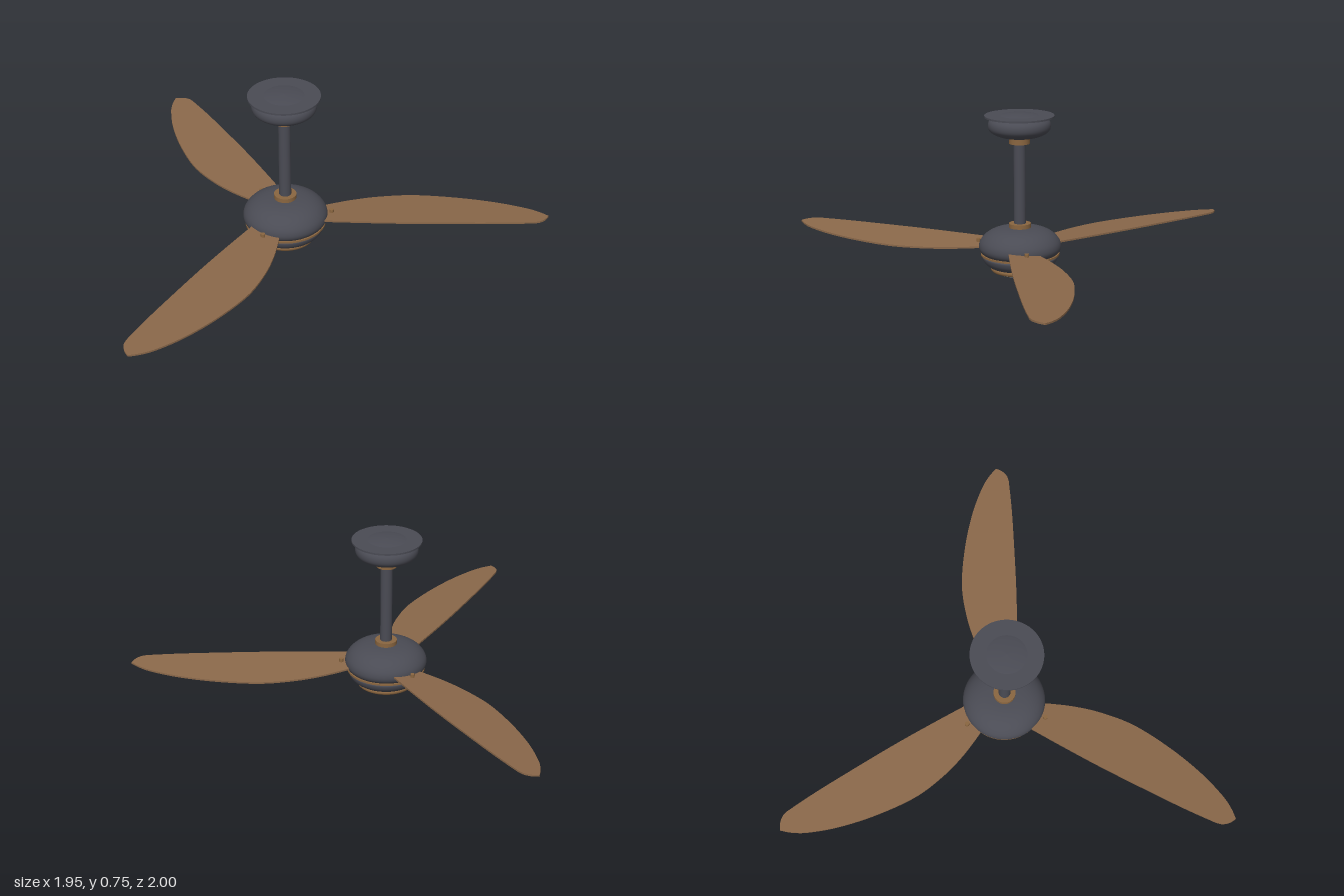
import * as THREE from 'three';

const mat = (name, color) => Object.assign(new THREE.MeshStandardMaterial({ color }), { name });
const vecs = (pts) => pts.map(([x, y]) => new THREE.Vector2(x, y));

export function createModel() {
  const metal = mat('dark metal', 0x4a4b54);
  const wood = mat('brown wood', 0x8a684a);
  const bronze = mat('bronze trim', 0x8a6640);
  const lens = mat('pale lens', 0xe6e6e6);

  const fan = new THREE.Group();
  fan.name = 'ceilingFan';
  fan.position.set(-0.18, 0, 0.115);

  const add = (name, geometry, material, parent = fan) => {
    const mesh = new THREE.Mesh(geometry, material);
    mesh.name = name;
    parent.add(mesh);
    return mesh;
  };
  // Profiles run bottom to top so that faces point outwards
  const turned = (name, pts, material) => add(name, new THREE.LatheGeometry(vecs(pts), 64), material);
  const smoothTurned = (name, pts, material) =>
    turned(name, new THREE.SplineCurve(vecs(pts)).getPoints(28).map((p) => [Math.max(p.x, 0), p.y]), material);
  const disc = (name, r, y0, y1, material) => {
    add(name, new THREE.CylinderGeometry(r, r, y1 - y0, 64), material).position.y = (y0 + y1) / 2;
  };

  // Motor housing
  smoothTurned('upperHousing', [[0.172, 0.1], [0.184, 0.113], [0.189, 0.133], [0.182, 0.159],
    [0.158, 0.187], [0.12, 0.208], [0.07, 0.219], [0, 0.222]], metal);
  disc('housingRing', 0.181, 0.093, 0.101, bronze);
  disc('housingGroove', 0.168, 0.083, 0.094, metal);
  smoothTurned('lowerHousing', [[0, 0.036], [0.12, 0.036], [0.15, 0.046], [0.167, 0.063], [0.174, 0.085], [0.165, 0.09]], metal);

  // Light at the bottom
  turned('lightRing', [[0.12, 0.016], [0.13, 0.018], [0.135, 0.024], [0.135, 0.033], [0.128, 0.038]], bronze);
  smoothTurned('lightLens', [[0, 0], [0.06, 0.002], [0.1, 0.007], [0.125, 0.018]], lens);

  // Rod with its collars
  disc('lowerCollar', 0.05, 0.216, 0.24, bronze);
  disc('downRod', 0.027, 0.23, 0.63, metal);
  disc('upperCollar', 0.047, 0.612, 0.642, bronze);

  // Ceiling canopy and mounting plate
  smoothTurned('canopy', [[0, 0.638], [0.055, 0.64], [0.1, 0.65], [0.134, 0.67], [0.143, 0.695],
    [0.134, 0.72], [0.1, 0.739], [0.05, 0.747], [0, 0.75]], metal);
  disc('mountingPlate', 0.159, 0.734, 0.742, metal);

  // Blade outline: bowed edge, blunt tip, nearly straight edge
  const outline = new THREE.Shape();
  outline.moveTo(0.12, -0.022);
  outline.splineThru(vecs([[0.19, -0.04], [0.315, -0.063], [0.447, -0.071], [0.606, -0.056],
    [0.79, 0.003], [0.95, 0.077], [1.066, 0.151], [1.12, 0.2], [1.152, 0.243]]));
  outline.splineThru(vecs([[1.13, 0.268], [1.1, 0.284], [1.07, 0.286]]));
  outline.splineThru(vecs([[0.94, 0.267], [0.79, 0.24], [0.526, 0.188], [0.315, 0.14], [0.12, 0.092]]));
  const bladeGeometry = new THREE.ExtrudeGeometry(outline, { depth: 0.008, bevelEnabled: false, curveSegments: 6 });
  bladeGeometry.rotateX(Math.PI / 2);

  // Pitch the blade about its long axis
  const pitch = (x, z) => 0.135 + 0.085 * (z - 0.03 - 0.22 * (x - 0.15));
  const p = bladeGeometry.attributes.position;
  for (let i = 0; i < p.count; i++) p.setY(i, p.getY(i) + pitch(p.getX(i), p.getZ(i)));
  bladeGeometry.computeVertexNormals();

  const screwGeometry = new THREE.CylinderGeometry(0.01, 0.01, 0.016, 16);
  for (let i = 0; i < 3; i++) {
    const arm = new THREE.Group();
    arm.name = 'bladeArm';
    arm.rotation.y = (i * Math.PI * 2) / 3;
    add('blade', bladeGeometry, wood, arm);
    add('bladeScrew', screwGeometry, bronze, arm).position.set(0.205, 0.141, 0.03);
    fan.add(arm);
  }

  const model = new THREE.Group();
  model.name = 'model';
  model.add(fan);
  return model;
}
